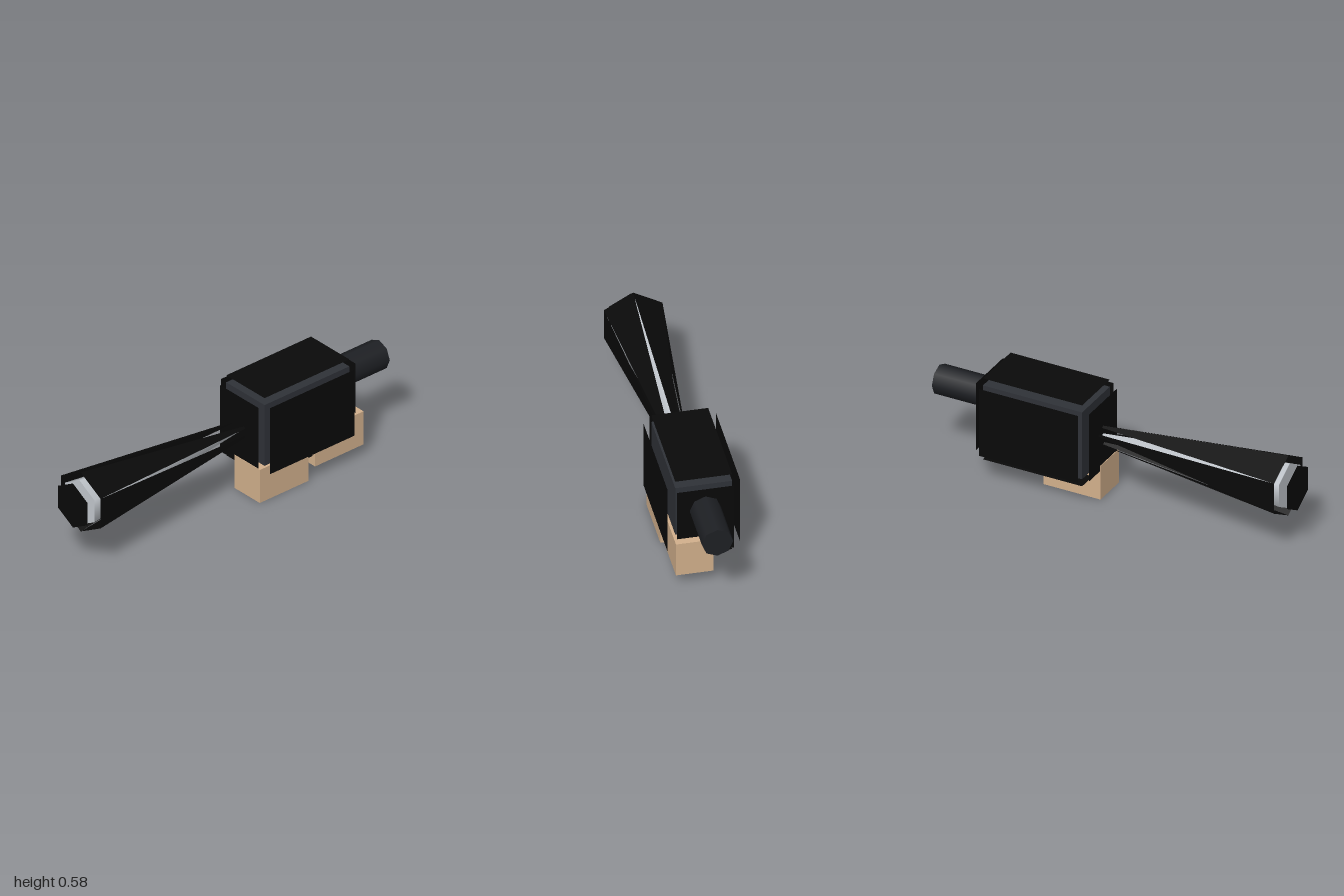
import * as THREE from 'three';

const material = (color, side = THREE.FrontSide) => new THREE.MeshStandardMaterial({ color, side });

export function createModel() {
  const model = new THREE.Group();
  const black = material(0x090909, THREE.DoubleSide);
  const bodyGrey = material(0x2f3238);
  const tubeGrey = material(0x1e2024);
  const lightGrey = material(0xc4c9cf);
  const tan = material(0xd2b08c);

  const add = (name, geometry, mat, x, y, z, parent = model) => {
    const mesh = new THREE.Mesh(geometry, mat);
    mesh.name = name;
    mesh.position.set(x, y, z);
    parent.add(mesh);
    return mesh;
  };

  // Body block with a black plate floating off every face
  const size = [0.286, 0.38, 0.554];
  const body = new THREE.Group();
  body.name = 'body';
  body.position.set(0, 0.35, -0.403);
  model.add(body);
  add('bodyCore', new THREE.BoxGeometry(...size), bodyGrey, 0, 0, 0, body);
  const gap = 0.04;
  for (const s of [-1, 1]) {
    add('sidePlate', new THREE.PlaneGeometry(size[2], size[1]), black, s * (size[0] / 2 + gap), 0, 0, body)
      .rotation.y = s * Math.PI / 2;
    add('levelPlate', new THREE.PlaneGeometry(size[0], size[2]), black, 0, s * (size[1] / 2 + gap), 0, body)
      .rotation.x = -s * Math.PI / 2;
    add('endPlate', new THREE.PlaneGeometry(size[0], size[1]), black, 0, 0, s * (size[2] / 2 + gap), body)
      .rotation.y = s > 0 ? 0 : Math.PI;
  }

  // Six-sided cone, wide end to the front
  const front = 0.957, tip = -0.17, radius = 0.127, lift = 0.043;
  const horn = new THREE.Group();
  horn.name = 'horn';
  horn.position.y = 0.35;
  model.add(horn);
  const cone = new THREE.ConeGeometry(radius, front - tip, 6);
  cone.rotateX(-Math.PI / 2);
  add('hornCore', cone, lightGrey, 0, 0, (front + tip) / 2, horn);

  // Black panels around the cone, each swept to one side at its tip
  const ring = (r, angle, z) => [r * Math.cos(angle), r * Math.sin(angle), z];
  const points = [];
  for (let k = 0; k < 6; k++) {
    const a = Math.PI / 2 + k * Math.PI / 3, b = a + Math.PI / 3;
    points.push(
      ...ring(radius + lift, a, front - 0.008),
      ...ring(lift, a, tip - 0.005),
      ...ring(radius + lift, b, front - 0.008)
    );
  }
  const panels = new THREE.BufferGeometry();
  panels.setAttribute('position', new THREE.Float32BufferAttribute(points, 3));
  panels.computeVertexNormals();
  add('hornPanels', panels, black, 0, 0, 0, horn);
  add('hornCap', new THREE.CircleGeometry(radius, 6, Math.PI / 2), black, 0, 0, front + lift, horn);

  // Rear tube
  const tube = new THREE.CylinderGeometry(0.079, 0.079, 0.36, 8);
  tube.rotateX(Math.PI / 2);
  add('rearTube', tube, tubeGrey, 0, 0.417, -0.82);

  // Two blocks below, set to the left
  add('frontHand', new THREE.BoxGeometry(0.19, 0.19, 0.317), tan, 0.062, 0.095, -0.2415);
  add('rearHand', new THREE.BoxGeometry(0.19, 0.19, 0.317), tan, 0.062, 0.16, -0.602);

  return model;
}
